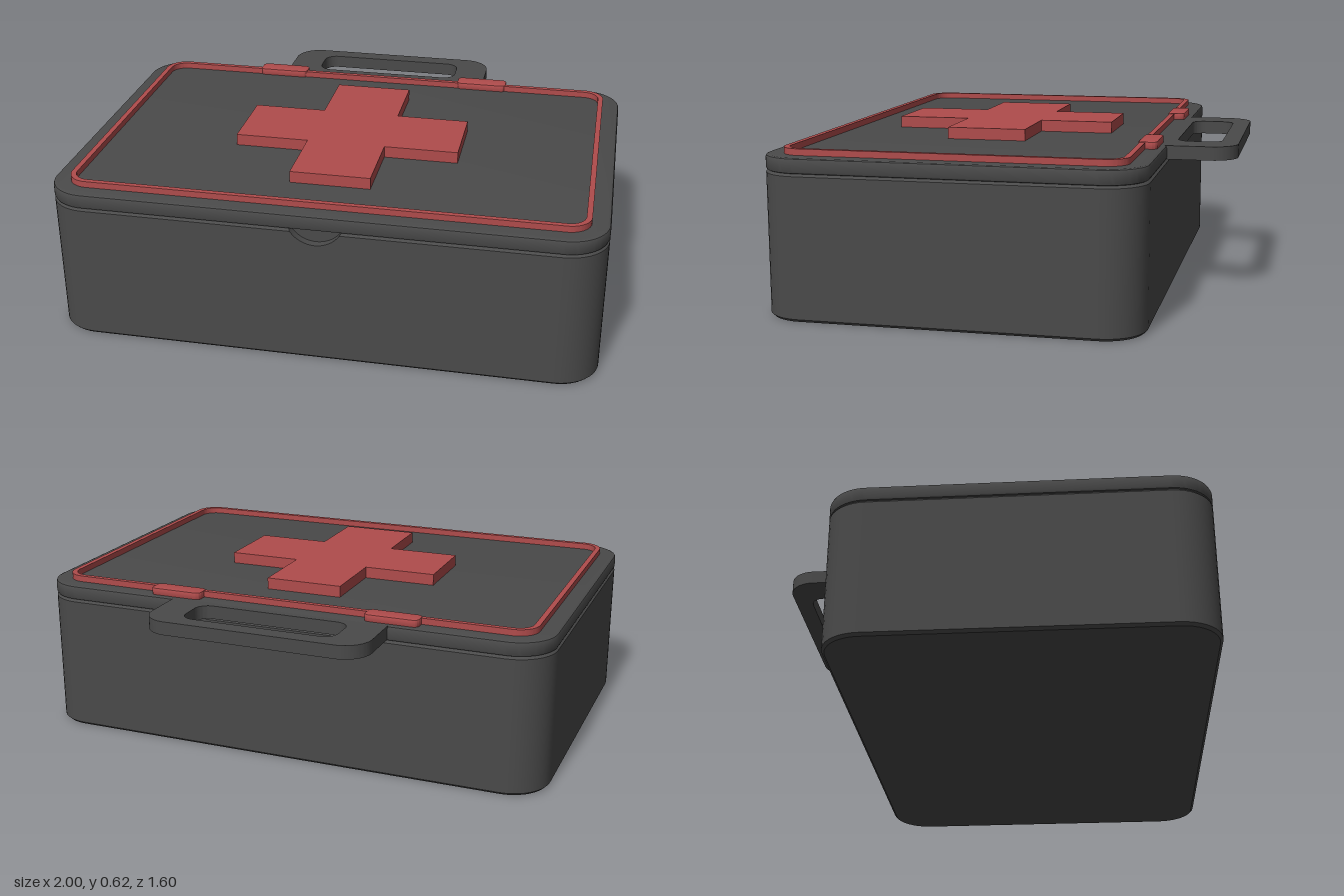
import * as THREE from 'three';
import { toCreasedNormals } from 'three/addons/utils/BufferGeometryUtils.js';

const DARK = new THREE.MeshStandardMaterial({ color: 0x4a4a4a });
const RED = new THREE.MeshStandardMaterial({ color: 0xb04c4c });
const CZ = 0.125; // middle of the case in z, the handle takes up the rest at the back
const HX = 1, HZ = 0.675, CORNER = 0.15;

// Rounded rectangle in plan, [x, -z]; r0 rounds the front corners, r1 the back ones
function roundRect(x0, x1, z0, z1, r1, r0 = r1, Type = THREE.Shape) {
  const s = new Type(), b = -z1, t = -z0, q = Math.PI / 2;
  const corner = (x, y, r, a) => (r ? s.absarc(x, y, r, a, a + q, false) : s.lineTo(x, y));
  s.moveTo(x0 + r0, b);
  corner(x1 - r0, b + r0, r0, -q);
  corner(x1 - r1, t - r1, r1, 0);
  corner(x0 + r1, t - r1, r1, q);
  corner(x0 + r0, b + r0, r0, 2 * q);
  s.closePath();
  return s;
}

// Flat slab from a plan shape between two heights, bevelled inside its outline
function slab(name, shape, y0, y1, material, bevel = 0) {
  let g = new THREE.ExtrudeGeometry(shape, {
    depth: y1 - y0 - 2 * bevel, curveSegments: 12, bevelEnabled: bevel > 0,
    bevelSize: bevel, bevelThickness: bevel, bevelOffset: -bevel, bevelSegments: 2,
  });
  g.rotateX(-Math.PI / 2).translate(0, y0 + bevel, 0);
  g = toCreasedNormals(g, 0.6);
  const mesh = new THREE.Mesh(g, material);
  mesh.name = name;
  return mesh;
}

// One outline of the case body, with the finger notch (half width w, depth d) in its front
function bodyLoop({ y, inset = 0, w = 0, d = 0 }) {
  const zf = CZ + HZ - inset, r = CORNER - inset, pts = [];
  for (const [x, z] of [[-w, zf], [-w, zf - d], [w, zf - d], [w, zf]]) pts.push([x, y, z]);
  for (const [sx, sz, a] of [[1, 1, 0], [1, -1, 1], [-1, -1, 2], [-1, 1, 3]]) {
    for (let i = 0; i <= 10; i++) {
      const t = (a + i / 10) * Math.PI / 2;
      pts.push([
        sx * (HX - CORNER) + r * Math.sin(t), y,
        CZ + sz * (HZ - CORNER) + r * Math.cos(t),
      ]);
    }
  }
  return pts;
}

function createBody() {
  const R = 0.106, yc = 0.571, low = 0.465, depth = 0.03;
  const levels = [{ y: 0, inset: 0.01 }, { y: 0.01 }, { y: low }];
  for (let i = 0; i <= 8; i++) { // notch follows a circular arc
    const y = low + 0.047 * (i / 8) ** 2;
    levels.push({ y, d: depth, w: Math.sqrt(Math.max(0, R * R - (yc - y) ** 2)) });
  }
  levels.push({ y: 0.522, inset: 0.01, d: depth - 0.01, w: 0.094 });
  const loops = levels.map(bodyLoop), n = loops[0].length, pos = [];
  const tri = (a, b, c) => pos.push(...a, ...b, ...c);
  for (let l = 0; l < loops.length - 1; l++) {
    const lo = loops[l], hi = loops[l + 1];
    for (let i = 0; i < n; i++) {
      const j = (i + 1) % n;
      tri(lo[i], lo[j], hi[j]);
      tri(lo[i], hi[j], hi[i]);
    }
  }
  const top = loops[loops.length - 1], bottom = loops[0];
  for (let i = 0; i < n; i++) {
    const j = (i + 1) % n;
    tri([0, 0.522, CZ], top[i], top[j]);
    tri([0, 0, CZ], bottom[j], bottom[i]);
  }
  const g = new THREE.BufferGeometry();
  g.setAttribute('position', new THREE.Float32BufferAttribute(pos, 3));
  const mesh = new THREE.Mesh(toCreasedNormals(g, 0.6), DARK);
  mesh.name = 'caseBody';
  return mesh;
}

export function createModel() {
  const group = new THREE.Group();
  group.name = 'firstAidCase';

  group.add(createBody());
  group.add(slab('lid', roundRect(-HX, HX, CZ - HZ, CZ + HZ, CORNER), 0.52, 0.575, DARK, 0.01));

  // Carrying handle behind the lid
  const handle = roundRect(-0.425, 0.425, -0.805, -0.54, 0.1, 0);
  handle.holes.push(roundRect(-0.295, 0.295, -0.74, -0.575, 0.05, 0.05, THREE.Path));
  const handleMesh = slab('handle', handle, 0.525, 0.575, DARK);
  handleMesh.scale.z = 0.8 / 0.805;
  group.add(handleMesh);

  // Raised border on the lid
  const border = roundRect(-0.935, 0.935, -0.485, 0.735, 0.08);
  border.holes.push(roundRect(-0.915, 0.915, -0.465, 0.715, 0.06, 0.06, THREE.Path));
  group.add(slab('lidBorder', border, 0.57, 0.598, RED));

  // Hinge plates
  for (const side of [-1, 1]) {
    const x = side * 0.427;
    const hinge = roundRect(x - 0.102, x + 0.102, -0.527, -0.458, 0.02);
    group.add(slab(side > 0 ? 'leftHinge' : 'rightHinge', hinge, 0.57, 0.601, RED, 0.004));
  }

  // Cross emblem
  const a = 0.148, b = 0.425;
  const cross = new THREE.Shape([
    [a, b], [-a, b], [-a, a], [-b, a], [-b, -a], [-a, -a],
    [-a, -b], [a, -b], [a, -a], [b, -a], [b, a], [a, a],
  ].map(([x, y]) => new THREE.Vector2(x, y - CZ)));
  group.add(slab('cross', cross, 0.57, 0.618, RED));

  return group;
}
